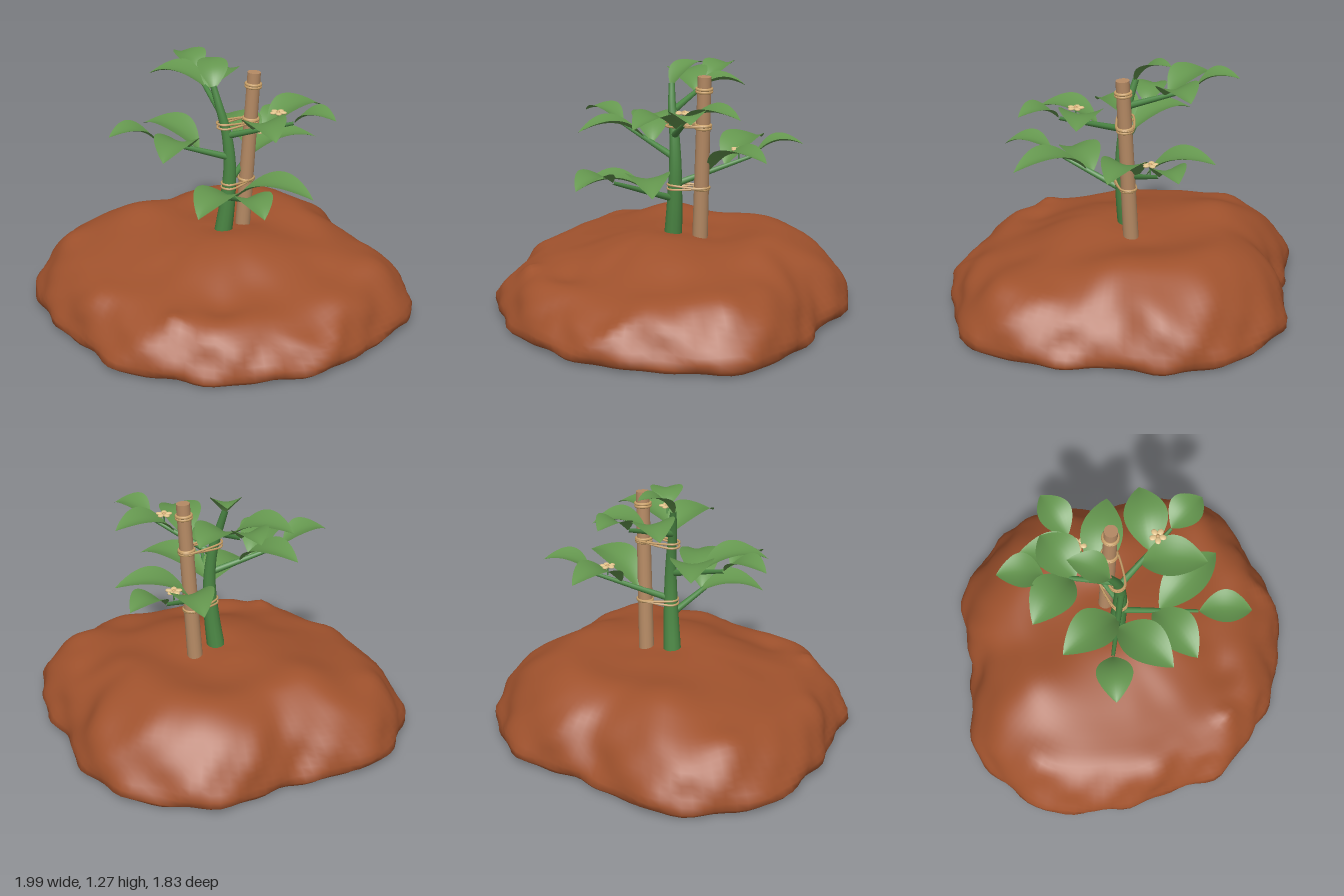
import * as THREE from 'three';

const V = (x, y, z) => new THREE.Vector3(x, y, z);
const material = (name, color, side = THREE.FrontSide) => {
  const m = new THREE.MeshStandardMaterial({ color, side });
  m.name = name;
  return m;
};

const soil = material('soil', 0xa0522d);
const stemGreen = material('stem green', 0x4c8845);
const leafGreen = material('leaf green', 0x64964e, THREE.DoubleSide);
const wood = material('stake wood', 0xb58a64);
const twine = material('twine', 0xc9a068);
const blossom = material('blossom', 0xe2c48c);

function add(parent, name, geometry, mat) {
  const mesh = new THREE.Mesh(geometry, mat);
  mesh.name = name;
  parent.add(mesh);
  return mesh;
}

// Tube with a radius that tapers from r0 to r1
function taperedTube(points, r0, r1, segments = 16, sides = 12) {
  const curve = new THREE.CatmullRomCurve3(points);
  const geo = new THREE.TubeGeometry(curve, segments, 1, sides);
  const p = geo.attributes.position;
  const v = V(0, 0, 0);
  for (let i = 0; i < p.count; i++) {
    const t = Math.floor(i / (sides + 1)) / segments;
    const c = curve.getPointAt(t);
    v.fromBufferAttribute(p, i).sub(c).multiplyScalar(r0 + (r1 - r0) * t).add(c);
    p.setXYZ(i, v.x, v.y, v.z);
  }
  return geo;
}

// Earth mound: rings from the top centre over an irregular rim to the bottom centre;
// rim radii every 15 degrees from +x to +z
const rim = [1, 0.95, 0.93, 0.94, 0.89, 0.92, 0.9, 0.92, 0.88, 0.9, 0.93, 0.98,
  1, 0.98, 0.88, 0.81, 0.86, 0.91, 0.915, 0.935, 0.91, 0.83, 0.88, 0.95];
const profile = [[0, 0.385], [0.15, 0.395], [0.3, 0.385], [0.5, 0.36], [0.65, 0.33],
  [0.8, 0.28], [0.9, 0.205], [0.97, 0.11], [1, 0.045], [0.985, 0.015], [0.9, 0.002], [0.45, 0], [0, 0]];
// Rounded clods and hollows: x, z, height, width
const lumps = [[-0.04, 0.76, 0.035, 0.06], [-0.5, -0.15, 0.03, 0.16], [0.82, 0.0, 0.02, 0.12],
  [-0.85, 0.05, 0.045, 0.12], [-0.5, 0.62, 0.03, 0.1], [0.6, 0.55, -0.05, 0.2], [0.72, 0.52, 0.03, 0.06],
  [0.42, 0.74, 0.03, 0.06], [0.6, -0.25, -0.03, 0.12], [0.55, 0.15, -0.02, 0.12], [-0.15, 0.4, -0.015, 0.13],
  [0.15, 0.6, -0.025, 0.1], [-0.25, 0.72, -0.025, 0.1], [0.1, -0.2, -0.012, 0.1], [-0.4, -0.62, 0.02, 0.12],
  [0.45, -0.6, 0.02, 0.11], [0.1, -0.75, 0.03, 0.15]];

function moundGeometry(rings = 64, segs = 120) {
  const section = new THREE.CatmullRomCurve3(profile.map(([t, h]) => V(t, h, 0)));
  const edge = new THREE.CatmullRomCurve3(rim.map((r) => V(r, 0, 0)), true, 'catmullrom', 0.5);
  const pos = [], index = [];
  for (let i = 0; i <= rings; i++) {
    const s = section.getPointAt(i / rings);
    const fade = THREE.MathUtils.clamp(s.y / 0.25, 0, 1);
    for (let j = 0; j < segs; j++) {
      const a = (j / segs) * Math.PI * 2;
      const bulge = 0.01 * Math.sin(7 * a + 16 * s.y) + 0.009 * Math.sin(13 * a - 24 * s.y + 2)
        + 0.008 * Math.sin(23 * a + 30 * s.y);
      const r = Math.min(1, s.x * (edge.getPoint(j / segs).x + bulge * s.x ** 4));
      const x = r * Math.cos(a), z = r * Math.sin(a);
      // Back is fuller than the front
      let y = s.y - fade * 0.055 * Math.sin(a) * Math.exp(-(((s.x - 0.62) / 0.2) ** 2));
      for (const [lx, lz, h, w] of lumps) y += fade * h * Math.exp(-((x - lx) ** 2 + (z - lz) ** 2) / (w * w));
      y += fade * 0.006 * (Math.sin(9 * x + 4 * z) + Math.sin(11 * z - 5 * x + 1) + Math.sin(17 * x * z + 8 * z));
      pos.push(x, Math.max(0, y), z);
      if (i < rings) {
        const k = i * segs, n = (j + 1) % segs;
        index.push(k + j, k + n, k + segs + j, k + n, k + segs + n, k + segs + j);
      }
    }
  }
  const geo = new THREE.BufferGeometry();
  geo.setAttribute('position', new THREE.Float32BufferAttribute(pos, 3));
  geo.setIndex(index);
  geo.computeVertexNormals();
  return geo;
}

// Arched, gently cupped leaf from base to tip
function leafGeometry(base, tip, width) {
  const dir = tip.clone().sub(base);
  const length = dir.length();
  const side = dir.clone().cross(V(0, 1, 0)).normalize();
  const up = side.clone().cross(dir).normalize();
  const geo = new THREE.PlaneGeometry(2, 1, 8, 16).translate(0, 0.5, 0);
  const p = geo.attributes.position;
  for (let i = 0; i < p.count; i++) {
    const v = p.getX(i), s = p.getY(i);
    const half = (width / 2) * Math.pow(Math.max(0, Math.sin(Math.PI * s)), 0.85);
    const lift = 0.75 * length * s * (1 - s) + half * 0.28 * Math.abs(v) ** 1.6;
    const q = base.clone().addScaledVector(dir, s).addScaledVector(side, v * half).addScaledVector(up, lift);
    p.setXYZ(i, q.x, q.y, q.z);
  }
  geo.computeVertexNormals();
  return geo;
}

// Five-petalled flower on a short stalk
function flower(parent, position) {
  const group = new THREE.Group();
  group.name = 'flower';
  group.position.copy(position);
  for (let i = 0; i < 5; i++) {
    const a = (i / 5) * Math.PI * 2;
    const petal = add(group, 'petal', new THREE.SphereGeometry(0.017, 10, 6), blossom);
    petal.scale.set(1.1, 0.4, 0.9);
    petal.position.set(0.025 * Math.cos(a), 0, 0.025 * Math.sin(a));
    petal.rotation.y = -a;
  }
  add(group, 'flowerCentre', new THREE.SphereGeometry(0.01, 10, 8), twine);
  add(group, 'flowerStalk', new THREE.CylinderGeometry(0.004, 0.004, 0.05, 6).translate(0, -0.025, 0), stemGreen);
  parent.add(group);
}

export function createModel() {
  const model = new THREE.Group();
  model.name = 'stakedPlant';
  add(model, 'earthMound', moundGeometry(), soil);

  // Main stem
  const stemPath = [V(0.005, 0.36, 0), V(0.03, 0.55, 0), V(0.042, 0.75, 0), V(0.025, 0.92, 0),
    V(-0.01, 1.05, 0), V(-0.045, 1.16, -0.01)];
  add(model, 'stem', taperedTube(stemPath, 0.048, 0.016, 28), stemGreen);

  // Branches: start, end, end leaf tip, then side leaves as [place along branch, tip]
  const branches = [
    [V(0.03, 0.91, 0), V(0.38, 1.03, 0.07), V(0.59, 1.07, 0.11), [[0.6, V(0.47, 1.05, -0.18)], [0.4, V(0.34, 1.01, 0.31)]]],
    [V(0.03, 0.58, 0.01), V(0.2, 0.73, 0.37), V(0.35, 0.74, 0.59), [[0.42, V(0.01, 0.66, 0.49)], [0.5, V(0.52, 0.72, 0.27)]]],
    [V(0.035, 0.8, 0.01), V(-0.29, 0.92, 0.18), V(-0.48, 0.97, 0.33), [[0.4, V(-0.42, 0.93, -0.02)], [0.55, V(-0.17, 0.91, 0.45)]]],
    [V(-0.01, 1.03, -0.01), V(-0.2, 1.14, -0.27), V(-0.34, 1.2, -0.44), [[0.6, V(-0.43, 1.15, -0.17)], [0.55, V(-0.09, 1.13, -0.53)]]],
    [V(0.04, 0.66, -0.01), V(0.14, 0.8, -0.39), V(0.23, 0.86, -0.62), [[0.62, V(-0.1, 0.84, -0.53)], [0.4, V(0.42, 0.82, -0.34)]]],
  ];
  branches[3][3][1][1].set(-0.04, 1.13, -0.41);
  for (const [start, end, tip, sides] of branches) {
    const branch = new THREE.Group();
    branch.name = 'branch';
    add(branch, 'twig', taperedTube([start, end.clone().lerp(start, 0.5), end], 0.018, 0.009, 8, 8), stemGreen);
    add(branch, 'endLeaf', leafGeometry(end, tip, 0.175), leafGreen);
    for (const [t, sideTip] of sides) add(branch, 'sideLeaf', leafGeometry(start.clone().lerp(end, t), sideTip, 0.215), leafGreen);
    model.add(branch);
  }
  add(model, 'topLeaf', leafGeometry(V(-0.042, 1.14, -0.005), V(-0.11, 1.25, -0.2), 0.155), leafGreen);
  flower(model, V(0.295, 1.07, 0.045));
  flower(model, V(0.125, 0.835, -0.31));

  // Support stake, leaning slightly, with twine wound around it
  const stakeAt = (y) => V(0.085 + (y - 0.4) * 0.064, y, -0.12);
  const lean = new THREE.Quaternion().setFromUnitVectors(V(0, 1, 0), stakeAt(1.2).sub(stakeAt(0.4)).normalize());
  const stake = add(model, 'stake', new THREE.CylinderGeometry(0.034, 0.04, 0.87, 16), wood);
  stake.position.copy(stakeAt(0.78));
  stake.quaternion.copy(lean);
  for (const y of [1.14, 1.153, 0.955, 0.97, 0.64]) {
    const ring = add(model, 'stakeBinding', new THREE.TorusGeometry(0.037, 0.008, 8, 24).rotateX(Math.PI / 2), twine);
    ring.position.copy(stakeAt(y));
    ring.quaternion.copy(lean);
  }

  // Twine loops holding the stem to the stake
  for (const [y, stemX, tilt] of [[0.64, 0.038, 0.006], [0.65, 0.039, -0.006], [0.96, 0.016, 0.006], [0.97, 0.014, -0.006]]) {
    const a = V(stemX, y - tilt, 0), b = stakeAt(y + tilt);
    const along = V(b.x - a.x, 0, b.z - a.z).normalize();
    const across = V(-along.z, 0, along.x);
    const points = [];
    for (const [c, sign, r] of [[a, -1, 0.038], [b, 1, 0.04]]) {
      for (const t of [-1.4, -0.7, 0, 0.7, 1.4]) {
        points.push(c.clone().addScaledVector(along, sign * r * Math.cos(t)).addScaledVector(across, r * Math.sin(t) * sign));
      }
    }
    add(model, 'twineLoop', new THREE.TubeGeometry(new THREE.CatmullRomCurve3(points, true), 48, 0.006, 6, true), twine);
  }
  return model;
}
